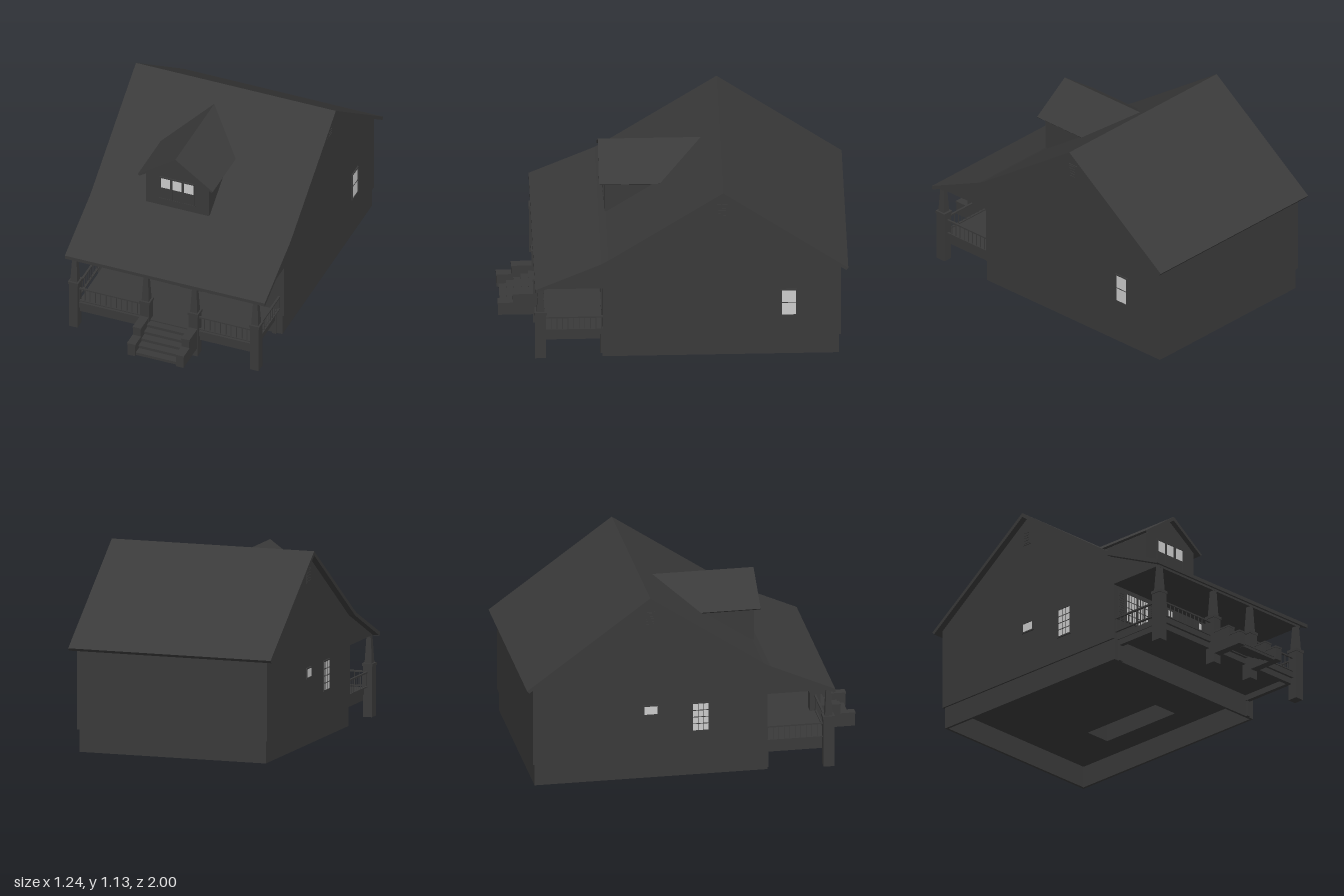
import * as THREE from 'three';

const dark = new THREE.MeshStandardMaterial({ color: 0x3a3a3a });
const pane = new THREE.MeshStandardMaterial({ color: 0xcccccc });

function add(parent, name, geo, mat = dark) {
  const m = new THREE.Mesh(geo, mat);
  m.name = name;
  parent.add(m);
  return m;
}

// Box given by its min and max on each axis
function box(parent, name, x0, x1, y0, y1, z0, z1, mat) {
  const g = new THREE.BoxGeometry(x1 - x0, y1 - y0, z1 - z0);
  g.translate((x0 + x1) / 2, (y0 + y1) / 2, (z0 + z1) / 2);
  return add(parent, name, g, mat);
}

function extrude(points, depth) {
  const s = new THREE.Shape(points.map(p => new THREE.Vector2(...p)));
  return new THREE.ExtrudeGeometry(s, { depth, bevelEnabled: false });
}

// Profile in (z, y), swept along x and centred
function sweepX(points, width) {
  return extrude(points, width).rotateY(-Math.PI / 2).translate(width / 2, 0, 0);
}

const rect = (x0, x1, z0, z1) => [[x0, -z1], [x1, -z1], [x1, -z0], [x0, -z0]].map(p => new THREE.Vector2(...p));

// Upright block with a rectangular hole; rectangles are [x0, x1, z0, z1]
function block(outer, hole, y0, y1) {
  const s = new THREE.Shape(rect(...outer));
  s.holes.push(new THREE.Path(rect(...hole)));
  return new THREE.ExtrudeGeometry(s, { depth: y1 - y0, bevelEnabled: false }).rotateX(-Math.PI / 2).translate(0, y0, 0);
}

function group(parent, name) {
  const g = new THREE.Group();
  g.name = name;
  parent.add(g);
  return g;
}

// Window facing +z, centred on its origin: frame, glass and glazing bars
function makeWindow(parent, name, w, h, cols, rows, darkLower = false) {
  const g = group(parent, name), t = 0.008, W = w / 2, H = h / 2;
  box(g, 'glass', -W, W, -H, H, -0.004, 0.002, pane);
  if (darkLower) box(g, 'lowerSash', -W, W, -H, 0, -0.004, 0.004);
  for (const s of [-1, 1]) {
    const x = s * (W + t / 2), y = s * (H + t / 2);
    box(g, 'jamb', x - t / 2, x + t / 2, -H - t, H + t, -0.004, 0.006);
    box(g, 'rail', -W, W, y - t / 2, y + t / 2, -0.004, 0.006);
  }
  for (let i = 1; i < cols; i++) {
    const x = -W + w * i / cols;
    box(g, 'bar', x - 0.0015, x + 0.0015, -H, H, 0, 0.004);
  }
  for (let j = 1; j < rows; j++) {
    const y = -H + h * j / rows;
    box(g, 'bar', -W, W, y - 0.002, y + 0.002, 0, 0.004);
  }
  return g;
}

// Railing along one axis with evenly spaced balusters
function railing(parent, x0, z0, x1, z1) {
  const g = group(parent, 'railing');
  const len = Math.hypot(x1 - x0, z1 - z0), n = Math.round(len / 0.032);
  const r = 0.006, b = 0.002;
  for (const [name, y0, y1] of [['topRail', 0.254, 0.263], ['bottomRail', 0.172, 0.179]])
    box(g, name, Math.min(x0, x1) - r, Math.max(x0, x1) + r, y0, y1, Math.min(z0, z1) - r, Math.max(z0, z1) + r);
  for (let i = 0; i <= n; i++) {
    const x = x0 + (x1 - x0) * i / n, z = z0 + (z1 - z0) * i / n;
    box(g, 'baluster', x - b, x + b, 0.175, 0.257, z - b, z + b);
  }
}

// Masonry pier with cap and tapered column
function pier(parent, x, top, z = 0.765) {
  const g = group(parent, 'porchPost'), r = 0.027;
  box(g, 'pier', x - r, x + r, 0, top - 0.015, z - 0.031, z + 0.031);
  box(g, 'pierCap', x - r - 0.005, x + r + 0.005, top - 0.017, top, z - 0.036, z + 0.034);
  const column = new THREE.CylinderGeometry(0.013 * Math.SQRT2, 0.022 * Math.SQRT2, 0.475 - top, 4, 1).rotateY(Math.PI / 4).toNonIndexed();
  column.computeVertexNormals();
  add(g, 'column', column).position.set(x, (0.475 + top) / 2, z);
}

export function createModel() {
  const house = new THREE.Group();
  house.name = 'house';

  // Hollow foundation, with corner posts where the porch meets it
  add(house, 'foundation', block([-0.57, 0.57, -0.945, 0.41], [-0.555, 0.555, -0.93, 0.395], 0, 0.135));
  for (const x of [-0.54, 0.51]) box(house, 'wallPost', x, x + 0.025, 0, 0.13, 0.405, 0.422);

  // Ground storey with a stairwell open to the basement
  add(house, 'walls', block([-0.58, 0.58, -0.955, 0.41], [0.24, 0.4, -0.59, -0.05], 0.13, 0.47));

  // Gables and closed porch ceiling
  add(house, 'gables', sweepX([[0.775, 0.47], [0.775, 0.478], [0.4, 0.65], [-0.28, 1.112], [-0.955, 0.617], [-0.955, 0.47]], 1.16));

  // Main roof with a kink over the porch
  add(house, 'roof', sweepX([[0.797, 0.489], [0.42, 0.658], [0.38, 0.682], [-0.28, 1.13], [-0.997, 0.607],
    [-0.985, 0.592], [-0.28, 1.105], [0.392, 0.648], [0.79, 0.468]], 1.237));
  box(house, 'eaveFascia', -0.618, 0.618, 0.468, 0.489, 0.785, 0.797);
  box(house, 'porchBeam', -0.58, 0.575, 0.458, 0.475, 0.75, 0.78);

  // Dormer
  const dormer = group(house, 'dormer');
  dormer.position.x = -0.09;
  add(dormer, 'dormerWalls', extrude([[-0.195, 0.69], [0.195, 0.69], [0.195, 0.9], [0, 1.04], [-0.195, 0.9]], 0.53).translate(0, 0, -0.145));
  add(dormer, 'dormerRoof', extrude([[-0.232, 0.893], [-0.222, 0.884], [0, 1.033], [0.222, 0.884], [0.232, 0.893], [0, 1.057]], 0.597).translate(0, 0, -0.18));
  for (const i of [-1, 0, 1])
    makeWindow(dormer, 'dormerWindow', 0.058, 0.14, 1, 2, true).position.set(i * 0.072, 0.814, 0.386);
  box(dormer, 'dormerSill', -0.112, 0.112, 0.735, 0.742, 0.38, 0.393);

  // Front windows, shutters and door
  for (const x of [-0.434, -0.34])
    makeWindow(house, 'frontWindow', 0.085, 0.17, 4, 4).position.set(x, 0.356, 0.411);
  for (const x of [-0.517, -0.258]) {
    const s = group(house, 'shutter');
    box(s, 'panel', x - 0.025, x + 0.025, 0.26, 0.447, 0.405, 0.415);
    for (let i = 0; i < 12; i++)
      box(s, 'slat', x - 0.02, x + 0.02, 0.268 + i * 0.0145, 0.276 + i * 0.0145, 0.413, 0.417);
  }
  makeWindow(house, 'frontWindow', 0.086, 0.165, 1, 2).position.set(0.44, 0.362, 0.411);
  box(house, 'door', -0.06, 0.07, 0.165, 0.455, 0.405, 0.416);
  for (const x of [-0.116, 0.126]) {
    makeWindow(house, 'sidelight', 0.038, 0.14, 1, 1).position.set(x, 0.385, 0.411);
    box(house, 'sidelightPanel', x - 0.02, x + 0.02, 0.165, 0.305, 0.405, 0.413);
  }

  // Side windows: side, z, y, width, height, columns, rows
  for (const [s, z, y, w, h, c, r] of [[1, -0.657, 0.355, 0.08, 0.165, 1, 2],
    [-1, -0.27, 0.42, 0.075, 0.05, 1, 1], [-1, 0.02, 0.36, 0.09, 0.165, 3, 4]]) {
    const win = makeWindow(house, 'sideWindow', w, h, c, r);
    win.position.set(s * 0.581, y, z);
    win.rotation.y = s * Math.PI / 2;
  }

  // Gable vents
  for (const s of [-1, 1]) {
    const v = group(house, 'gableVent');
    v.position.set(s * 0.58, 0.985, -0.275);
    v.rotation.y = s * Math.PI / 2;
    box(v, 'ventFrame', -0.03, 0.03, -0.045, 0.045, -0.005, 0.005);
    for (let i = 0; i < 5; i++) box(v, 'louver', -0.022, 0.022, -0.036 + i * 0.016, -0.027 + i * 0.016, 0, 0.008);
  }

  // Porch deck
  box(house, 'porchDeck', -0.545, 0.535, 0.13, 0.165, 0.4, 0.775);
  box(house, 'porchJoist', -0.54, 0.53, 0.095, 0.13, 0.735, 0.76);
  for (const x of [-0.54, 0.505]) box(house, 'porchJoist', x, x + 0.025, 0.095, 0.13, 0.41, 0.75);

  // Posts and railings
  for (const [x, top] of [[-0.567, 0.312], [-0.125, 0.297], [0.175, 0.297], [0.553, 0.312]]) pier(house, x, top);
  railing(house, -0.54, 0.765, -0.15, 0.765);
  railing(house, 0.2, 0.765, 0.53, 0.765);
  railing(house, -0.56, 0.415, -0.56, 0.735);
  railing(house, 0.55, 0.415, 0.55, 0.735);

  // Front steps between stepped cheek walls
  const steps = group(house, 'frontSteps');
  for (const x of [-0.125, 0.175]) {
    const cheek = sweepX([[0.79, 0.053], [0.997, 0.053], [0.997, 0.128], [0.912, 0.128], [0.912, 0.187], [0.79, 0.187]], 0.046);
    add(steps, 'cheekWall', cheek).position.x = x;
    box(steps, 'cheekCap', x - 0.026, x + 0.026, 0.126, 0.136, 0.91, 1);
    box(steps, 'cheekCap', x - 0.026, x + 0.026, 0.183, 0.193, 0.79, 0.914);
  }
  for (let i = 0; i < 5; i++) {
    const y = 0.073 + i * 0.021, z = 0.985 - i * 0.042;
    box(steps, 'riser', -0.102, 0.152, y - 0.021, y - 0.006, z - 0.045, z - 0.004);
    box(steps, 'tread', -0.102, 0.152, y - 0.006, y, z - 0.048, z);
  }
  return house;
}
